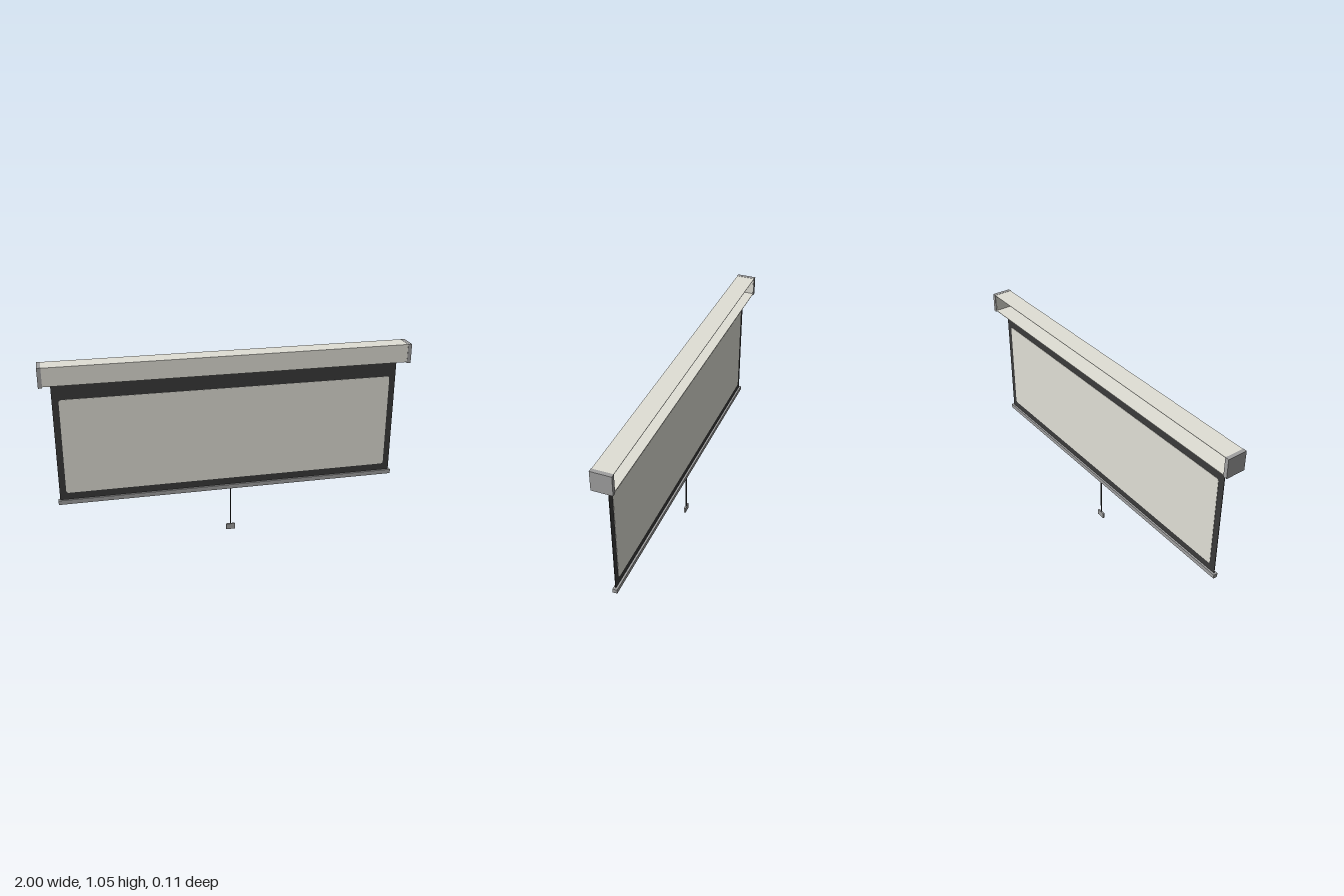
import * as THREE from 'three';

const mat = (name, color) => {
  const m = new THREE.MeshStandardMaterial({ color });
  m.name = name;
  return m;
};

export function createModel() {
  const model = new THREE.Group();
  model.name = 'projectionScreen';
  const white = mat('warm white', 0xe0dfd6);
  const grey = mat('mid grey', 0xa0a0a0);
  const black = mat('black', 0x3a3a3a);

  const add = (name, geometry, material, x = 0, y = 0, z = 0) => {
    const mesh = new THREE.Mesh(geometry, material);
    mesh.name = name;
    mesh.position.set(x, y, z);
    model.add(mesh);
    return mesh;
  };
  const box = (name, w, h, d, material, x, y, z) =>
    add(name, new THREE.BoxGeometry(w, h, d), material, x, y, z);

  // Sheet-metal housing, open at the back
  const t = 0.003;
  box('housingFront', 1.96, 0.1, t, white, 0, 0.999, 0.051);
  box('housingTop', 1.96, t, 0.105, white, 0, 1.0475, 0);
  box('housingFloor', 1.96, t, 0.105, white, 0, 0.9505, 0);

  // End caps with pale inner liners
  for (const s of [-1, 1]) {
    box('endCap', 0.021, 0.107, 0.108, grey, s * 0.9895, 0.9965, 0);
    box('endLiner', t, 0.096, 0.1, white, s * 0.978, 0.999, 0);
  }

  // Black fabric sheet
  box('screenBorder', 1.88, 0.675, 0.003, black, 0, 0.6125, 0);

  // Viewing surface with rounded corners, showing on both sides
  const w = 0.905, y0 = 0.325, y1 = 0.856, r = 0.014;
  const s = new THREE.Shape();
  s.moveTo(-w + r, y0);
  s.lineTo(w - r, y0);
  s.quadraticCurveTo(w, y0, w, y0 + r);
  s.lineTo(w, y1 - r);
  s.quadraticCurveTo(w, y1, w - r, y1);
  s.lineTo(-w + r, y1);
  s.quadraticCurveTo(-w, y1, -w, y1 - r);
  s.lineTo(-w, y0 + r);
  s.quadraticCurveTo(-w, y0, -w + r, y0);
  const surface = new THREE.ExtrudeGeometry(s, { depth: 0.006, bevelEnabled: false, curveSegments: 5 });
  add('viewingSurface', surface, white, 0, 0, -0.003);

  // Weight bar, pull cord and handle
  box('weightBar', 1.9, 0.024, 0.024, grey, 0, 0.274, 0);
  add('pullCord', new THREE.CylinderGeometry(0.0035, 0.0035, 0.235, 12), black, 0, 0.147, 0);
  box('pullHandle', 0.05, 0.033, 0.01, grey, 0, 0.0165, 0);

  return model;
}
